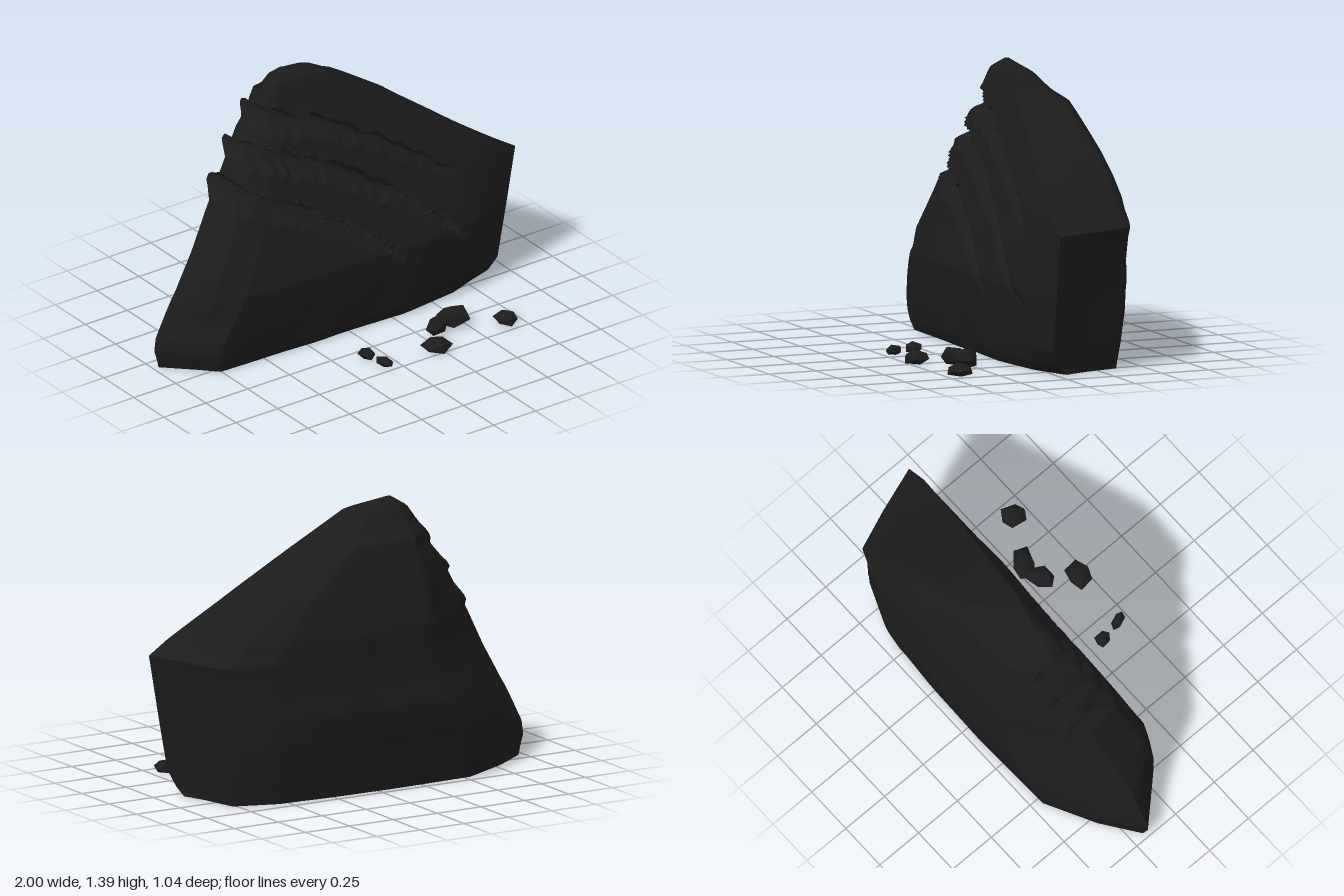
import * as THREE from 'three';
import { toCreasedNormals } from 'three/addons/utils/BufferGeometryUtils.js';

const lerp = THREE.MathUtils.lerp;
const clamp = THREE.MathUtils.clamp;

// piecewise linear lookup in [[position, value], ...]
function curve(keys, p) {
  for (let i = 1; i < keys.length; i++) {
    const [a, va] = keys[i - 1], [b, vb] = keys[i];
    if (p <= b) return lerp(va, vb, clamp((p - a) / (b - a), 0, 1));
  }
  return keys[keys.length - 1][1];
}

// repeatable smooth noise in -1..1
function hash(i, j) {
  const s = Math.sin(i * 127.1 + j * 311.7) * 43758.5453;
  return (s - Math.floor(s)) * 2 - 1;
}
function noise(x, y) {
  const i = Math.floor(x), j = Math.floor(y);
  const u = THREE.MathUtils.smoothstep(x - i, 0, 1), v = THREE.MathUtils.smoothstep(y - j, 0, 1);
  return lerp(lerp(hash(i, j), hash(i + 1, j), u), lerp(hash(i, j + 1), hash(i + 1, j + 1), u), v);
}

// slab outline by height: left and right edge, front and back depth
const LEFT = [[0, -0.97], [0.1, -1], [0.17, -0.99], [0.35, -0.9], [0.6, -0.75], [0.87, -0.6],
  [1.08, -0.48], [1.17, -0.4], [1.25, -0.37], [1.34, -0.31], [1.395, -0.22]];
const RIGHT = [[0, 0.86], [0.12, 0.9], [0.4, 0.95], [0.7, 1], [0.96, 0.6], [1.16, 0.3], [1.35, 0], [1.395, -0.2]];
const FRONT = [[0, 0.06], [0.05, 0.08], [0.27, 0.115], [0.4, 0.13], [0.6, 0.08], [0.8, 0.03], [1, -0.03],
  [1.2, -0.1], [1.35, -0.15], [1.395, -0.21]];
const BACK = [[0, -0.46], [0.28, -0.515], [0.42, -0.525], [0.55, -0.51], [0.8, -0.515], [1, -0.48], [1.22, -0.42],
  [1.27, -0.35], [1.34, -0.3], [1.395, -0.23]];
// depth of the front right edge, and how far the rear right edge is set in
const RIGHT_EDGE = [[0, -0.06], [0.04, -0.01], [0.12, 0.03], [0.7, 0.038]];
const INSET = [[0, 0.09], [0.12, 0.11], [0.4, 0.15], [0.65, 0.17], [0.75, 0.15], [0.9, 0.06], [1.0, 0.035], [1.3, 0.03]];
// bevel along the left edge: width and depth, blunter higher up
const BEVEL_X = [[0, 0.08], [0.25, 0.075], [0.5, 0.03]];
const BEVEL_Z = [[0, 0.8], [0.25, 0.81], [0.5, 0.86]];

// three claw gouges, running down from the left edge
const GOUGES = [
  [[-0.46, 1.23], [-0.3, 1.18], [-0.05, 1.09], [0.25, 0.93], [0.62, 0.68]],
  [[-0.58, 1.07], [-0.4, 1.02], [-0.08, 0.89], [0.3, 0.65], [0.66, 0.34]],
  [[-0.7, 0.9], [-0.52, 0.83], [-0.27, 0.72], [0, 0.56], [0.28, 0.35]],
];

function gougeDepth(x, y) {
  let depth = 0;
  GOUGES.forEach((path, g) => {
    const x0 = path[0][0], x1 = path[path.length - 1][0];
    const s = (x - x0) / (x1 - x0);
    if (s < 0 || s > 1) return;
    const d = (y - curve(path, x)) * 0.87;
    const taper = 1 - s * s;
    const jag = 0.016 * noise(x * 26 + g * 20, d > 0 ? 3 : 9) + 0.007 * noise(x * 70, g);
    const half = (d > 0 ? 0.042 : 0.07) * (0.35 + 0.65 * taper) + jag;
    const e = Math.abs(d) / Math.max(half, 0.008);
    const deep = 0.012 + 0.055 * taper + 0.04 * (1 - s) ** 4;
    // steep upper wall, gentler lower slope, ragged raised lip
    if (e < 1) depth = Math.max(depth, deep * clamp((1 - e) * (d > 0 ? 2 : 1.2), 0, 1));
    else if (e < 1.5 && depth === 0) depth = -0.012 * taper * (1.5 - e) * (1 + noise(x * 40, y * 40));
  });
  return depth;
}

// one horizontal cross-section, anticlockwise from the left tip
function section(y) {
  const L = curve(LEFT, y), R = curve(RIGHT, y), F = curve(FRONT, y), B = curve(BACK, y);
  const w = R - L, t = F - B;
  const inset = Math.min(curve(INSET, y), w * 0.3);
  const edge = Math.min(F, curve(RIGHT_EDGE, y));
  const keys = [
    [L, B + 0.53 * t, 9],
    [L + curve(BEVEL_X, y) * w, B + curve(BEVEL_Z, y) * t, 9],
    [L + 0.12 * w, F - 0.05 * t, 84],
    [L + 0.7 * w, F, 20],
    [L + 0.88 * w, lerp(F, edge, 0.33), 14],
    [R, edge, 5],
    [R - 0.5 * inset, B + 0.55 * t, 5],
    [R - inset, B + 0.19 * t, 6],
    [R - inset - 0.13 * w, B + 0.03 * t, 10],
    [L + 0.5 * w, B, 8],
    [L + 0.24 * w, B + 0.025 * t, 5],
    [L + 0.1 * w, B + 0.28 * t, 5],
  ];
  const loop = [];
  keys.forEach(([x, z, n], k) => {
    const [nx, nz] = keys[(k + 1) % keys.length];
    for (let i = 0; i < n; i++) {
      let px = lerp(x, nx, i / n), pz = lerp(z, nz, i / n);
      if (k < 5) {
        const d = gougeDepth(px, y);
        pz -= d;
        if (k < 2) px += d * 0.25;
        else pz += 0.005 * noise(px * 5, y * 5) * Math.min(1, t * 3);
      } else if (k === 8 || k === 9) {
        pz += 0.006 * (noise(px * 4 + 9, y * 4) + 0.4) * Math.min(1, t * 3);
      }
      loop.push(px, y, pz);
    }
  });
  return loop;
}

// stack the cross-sections and close both ends
function slabGeometry() {
  const rows = 100, pos = [], index = [];
  for (let i = 0; i <= rows; i++) pos.push(...section(Math.min(1.395, 1.4 * i / rows)));
  const n = pos.length / 3 / (rows + 1);
  for (let i = 0; i < rows; i++) {
    for (let j = 0; j < n; j++) {
      const a = i * n + j, b = i * n + (j + 1) % n;
      index.push(a, b, b + n, a, b + n, a + n);
    }
  }
  const bottom = pos.length / 3, top = bottom + 1;
  pos.push(-0.05, 0, -0.2, -0.21, 1.395, -0.22);
  for (let j = 0; j < n; j++) {
    const k = (j + 1) % n;
    index.push(bottom, k, j, top, rows * n + j, rows * n + k);
  }
  const geo = new THREE.BufferGeometry();
  geo.setAttribute('position', new THREE.Float32BufferAttribute(pos, 3));
  geo.setIndex(index);
  return toCreasedNormals(geo, 0.95);
}

// faceted pebble resting on the ground
function pebbleGeometry(rx, h, rz, seed) {
  const geo = new THREE.IcosahedronGeometry(1, 0);
  const p = geo.attributes.position;
  for (let i = 0; i < p.count; i++) {
    const x = p.getX(i), y = p.getY(i), z = p.getZ(i);
    const r = 1 + 0.16 * hash(Math.round(x * 9) + seed * 5, Math.round(y * 9) * 3 + Math.round(z * 9) * 17);
    p.setXYZ(i, x * r * rx, Math.max(0, (y * r + 0.7) * h / 1.6), z * r * rz);
  }
  geo.computeVertexNormals();
  return geo;
}

export function createModel() {
  const model = new THREE.Group();
  model.name = 'clawedRock';
  const stone = new THREE.MeshStandardMaterial({ color: 0x1c1c1c });
  stone.name = 'darkStone';

  const slab = new THREE.Mesh(slabGeometry(), stone);
  slab.name = 'rockSlab';
  model.add(slab);

  // fallen chips: x, z, half width, height, half depth, turn
  const chips = new THREE.Group();
  chips.name = 'fallenChips';
  [
    [-0.095, 0.325, 0.036, 0.05, 0.046, 0],
    [-0.07, 0.445, 0.026, 0.045, 0.05, 0.4],
    [0.23, 0.455, 0.072, 0.065, 0.068, 0],
    [0.34, 0.31, 0.078, 0.085, 0.055, 0.5],
    [0.445, 0.29, 0.085, 0.1, 0.06, -0.5],
    [0.67, 0.425, 0.062, 0.06, 0.074, -0.2],
  ].forEach(([x, z, rx, h, rz, turn], i) => {
    const chip = new THREE.Mesh(pebbleGeometry(rx, h, rz, i + 1), stone);
    chip.name = 'chip' + (i + 1);
    chip.position.set(x, 0, z);
    chip.rotation.y = turn;
    chips.add(chip);
  });
  model.add(chips);
  return model;
}
